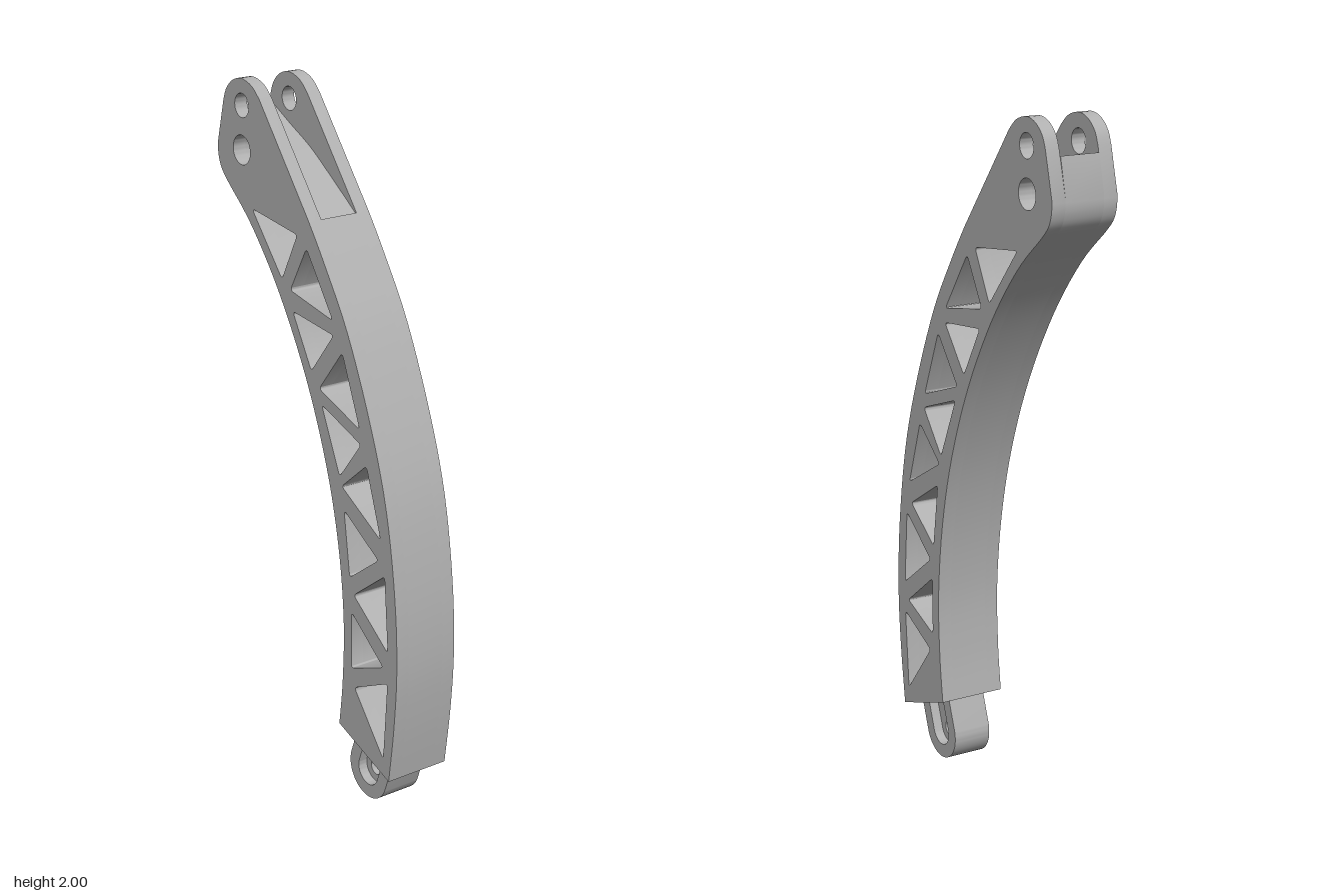
import * as THREE from 'three';
import { toCreasedNormals } from 'three/addons/utils/BufferGeometryUtils.js';

const HALF = 0.1;   // half thickness of the arm
const SLOT = 0.059; // half width of the fork slot and lower lug

const vec = (pts) => pts.map(([x, y]) => new THREE.Vector2(x, y));
const smooth = (pts, n = 40) => new THREE.SplineCurve(vec(pts)).getPoints(n);

// Closed polygon with softened corners
function roundedPolygon(pts, r) {
  const p = vec(pts), path = new THREE.Path();
  p.forEach((c, i) => {
    const prev = p[(i + p.length - 1) % p.length], next = p[(i + 1) % p.length];
    const a = c.clone().add(prev.clone().sub(c).setLength(r));
    const b = c.clone().add(next.clone().sub(c).setLength(r));
    if (i === 0) path.moveTo(a.x, a.y); else path.lineTo(a.x, a.y);
    path.quadraticCurveTo(c.x, c.y, b.x, b.y);
  });
  path.closePath();
  return path;
}

const circle = (x, y, r) => new THREE.Path().absarc(x, y, r, 0, Math.PI * 2, true);

// U-shaped tab: round at the bottom, straight up to the given height
function tab(Type, r, top) {
  const s = new Type();
  s.moveTo(r, top);
  s.lineTo(-r, top);
  s.lineTo(-r, 0);
  s.absarc(0, 0, r, Math.PI, Math.PI * 2, false);
  s.closePath();
  return s;
}

function plate(name, shape, holes, z0, z1, material) {
  shape.holes.push(...holes);
  const geo = new THREE.ExtrudeGeometry(shape, { depth: z1 - z0, bevelEnabled: false, curveSegments: 20 });
  geo.translate(0, 0, z0);
  const mesh = new THREE.Mesh(toCreasedNormals(geo, 0.5), material);
  mesh.name = name;
  return mesh;
}

export function createModel() {
  const model = new THREE.Group();
  model.name = 'curvedTrussArm';
  const grey = new THREE.MeshStandardMaterial({ color: 0xb0b0b0 });
  grey.name = 'grey';

  // Long concave and convex edges of the arm
  const inner = smooth([[-0.37, 1.69], [-0.257, 1.59], [-0.125, 1.426], [0, 1.214], [0.093, 0.99],
    [0.15, 0.77], [0.176, 0.55], [0.172, 0.36], [0.156, 0.214]]);
  const outer = smooth([[0.39, 0.13], [0.412, 0.31], [0.422, 0.495], [0.409, 0.706], [0.368, 0.945],
    [0.298, 1.16], [0.193, 1.394], [0.087, 1.563], [0.015, 1.665]]);
  // Rounded heel below the fork
  const heel = smooth([[-0.425, 1.8], [-0.423, 1.765], [-0.408, 1.728], [-0.37, 1.69]], 10);
  // Rounded fork tip
  const tip = smooth([[-0.214, 1.955], [-0.25, 1.986], [-0.3, 2], [-0.345, 1.989],
    [-0.378, 1.96], [-0.393, 1.925]], 16);
  // Slot floor between the fork cheeks
  const floor = smooth([[0.015, 1.66], [-0.1, 1.74], [-0.2, 1.806], [-0.3, 1.856], [-0.4, 1.908]], 14);

  // Triangular openings of the truss
  const triangles = [
    [[-0.257, 1.643], [-0.04, 1.616], [-0.114, 1.474]],
    [[0.003, 1.588], [0.124, 1.415], [-0.074, 1.452]],
    [[-0.063, 1.394], [0.127, 1.374], [0.024, 1.245]],
    [[0.167, 1.336], [0.247, 1.14], [0.061, 1.204]],
    [[0.072, 1.161], [0.253, 1.098], [0.156, 0.976]],
    [[0.278, 1.045], [0.344, 0.85], [0.166, 0.95]],
    [[0.177, 0.883], [0.334, 0.787], [0.204, 0.69]],
    [[0.363, 0.75], [0.38, 0.526], [0.223, 0.643]],
    [[0.213, 0.587], [0.36, 0.474], [0.213, 0.413]],
    [[0.38, 0.432], [0.364, 0.19], [0.228, 0.358]],
  ];
  const openings = () => [...triangles.map((t) => roundedPolygon(t, 0.014)), circle(-0.305, 1.8, 0.042)];

  // Cheek plates on both sides, carrying the fork
  for (const [name, z0, z1] of [['frontCheek', SLOT, HALF], ['backCheek', -HALF, -SLOT]]) {
    const outline = new THREE.Shape([...heel, ...inner, ...outer, ...tip]);
    model.add(plate(name, outline, [...openings(), circle(-0.302, 1.925, 0.034)], z0, z1, grey));
  }

  // Core between the cheeks, cut away at the fork slot
  const core = new THREE.Shape([...heel, ...inner, ...outer, ...floor]);
  model.add(plate('core', core, openings(), -SLOT, SLOT, grey));

  // Lower lug: U-shaped rim with a thinner drilled web
  const lug = new THREE.Group();
  lug.name = 'lowerLug';
  lug.position.set(0.24, 0.086, 0);
  lug.rotation.z = -0.345;
  lug.add(plate('lugRim', tab(THREE.Shape, 0.085, 0.115), [tab(THREE.Path, 0.045, 0.11)], -SLOT, SLOT, grey));
  lug.add(plate('lugWeb', tab(THREE.Shape, 0.047, 0.112), [circle(0, 0, 0.023)], -0.03, 0.03, grey));
  model.add(lug);

  return model;
}
